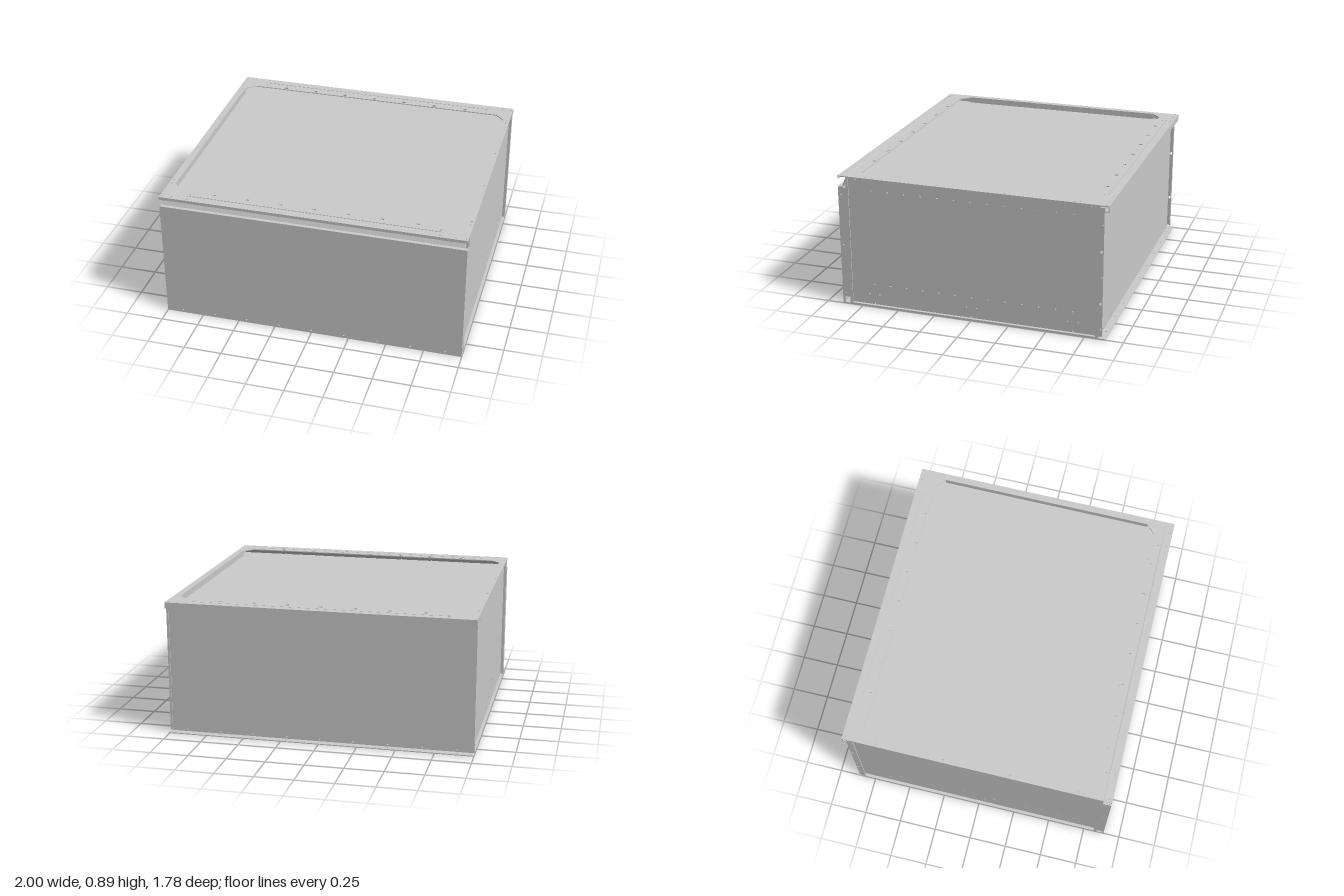
import * as THREE from 'three';

const T = 0.006; // sheet thickness

export function createModel() {
  const model = new THREE.Group();
  const mat = new THREE.MeshStandardMaterial({ color: 0xcccccc, side: THREE.DoubleSide });

  // Flat sheet over [a0..a1] x [b0..b1] with round holes [a, b, r] and cut-out paths.
  // plane 'xy': thickness runs +z; 'zy': thickness runs -x; 'xz': thickness runs -y.
  function sheet(name, plane, at, [a0, a1, b0, b1], holes = [], cutouts = []) {
    const shape = new THREE.Shape(rect(a0, a1, b0, b1));
    holes.forEach(([a, b, r = 0.005]) => shape.holes.push(new THREE.Path().absarc(a, b, r, 0, Math.PI * 2, true)));
    cutouts.forEach((pts) => shape.holes.push(new THREE.Path(pts)));
    const geo = new THREE.ExtrudeGeometry(shape, { depth: T, bevelEnabled: false, curveSegments: 5 });
    if (plane === 'xy') geo.translate(0, 0, at);
    if (plane === 'zy') geo.rotateY(-Math.PI / 2).translate(at, 0, 0);
    if (plane === 'xz') geo.rotateX(Math.PI / 2).translate(0, at, 0);
    const mesh = new THREE.Mesh(geo, mat);
    mesh.name = name;
    model.add(mesh);
    return mesh;
  }
  function rect(a0, a1, b0, b1) {
    return [[a0, b0], [a1, b0], [a1, b1], [a0, b1]].map(([a, b]) => new THREE.Vector2(a, b));
  }
  // Symmetric row of holes
  const row = (positions, b, r) =>
    positions.flatMap((p) => (p ? [[p, b, r], [-p, b, r]] : [[0, b, r]]));
  // Span from inner to outer distance on side s
  const span = (s, inner, outer) => (s > 0 ? [inner, outer] : [-outer, -inner]);

  const frontRow = [0, 0.22, 0.445, 0.665, 0.89];
  const sideRow = [0, 1, 2, 3, 4, 5, 6].map((i) => i * 0.1115);

  // Top frame with a chamfered opening, bolt holes and narrow seams
  const X = 0.955, Z = 0.768, C = 0.06;
  const opening = [[X - C, Z], [X, Z - C], [X, C - Z], [X - C, -Z], [C - X, -Z], [-X, C - Z], [-X, Z - C], [C - X, Z]]
    .map(([a, b]) => new THREE.Vector2(a, b));
  const frameHoles = [-1, 1].flatMap((s) => [
    ...row([0, 0.22, 0.44, 0.665], s * 0.787, 0.013),
    ...row([0.82, 0.92, 0.985], s * 0.868),
    ...row([0.815], s * 0.81),
    ...row([0.98], s * 0.705), ...row([0.98], s * 0.665), ...row([0.98], s * 0.22),
  ]);
  sheet('topFrame', 'xz', 0.885, [-1, 1, -0.89, 0.89], frameHoles,
    [opening, rect(-0.83, 0.83, 0.828, 0.832), rect(-0.83, 0.83, -0.837, -0.833)]);

  // Sunken top panel, running on under the front and rear of the frame
  sheet('topPanel', 'xz', 0.845, [-0.975, 0.975, -0.835, 0.835]);

  // Side walls, mirrored left and right
  for (const s of [-1, 1]) {
    const outer = s > 0 ? 1 : -1 + T;
    sheet('topSideSkirt', 'zy', s * 0.958 + T / 2, [-0.71, 0.71, 0.84, 0.88]);
    sheet('sideWall', 'zy', s * 0.978 + T / 2, [-0.835, 0.835, 0, 0.88], [
      ...row(sideRow, 0.8), ...row(sideRow, 0.155),
      ...row([0.035, 0.635, 0.705], 0.085), ...row([0, 0.67], 0.02), ...row([0.775], 0.865),
    ]);
    // thin rim standing proud of the wall, with a ledge along its foot
    sheet('sideRim', 'zy', outer, [-0.835, 0.835, 0, 0.885], [], [rect(-0.82, 0.82, 0.013, 0.872)]);
    sheet('sideLedge', 'xz', 0.013, [...span(s, 0.975, 1), -0.835, 0.835]);
    for (const e of [-1, 1]) {
      sheet('sideRimReturn', 'xy', e * 0.832 - T / 2, [...span(s, 0.975, 0.998), 0.002, 0.88]);
    }
    // folded end of the front panel with a notch at the foot
    sheet('frontReturn', 'zy', outer, [0.835, 0.885, 0, 0.81],
      [[0.868, 0.76], [0.868, 0.415], [0.868, 0.075]], [rect(0.84, 0.876, 0.008, 0.05)]);
    // upright flange at the rear corner
    sheet('rearCornerFlange', 'zy', outer, [-0.862, -0.835, 0.02, 0.87],
      [[-0.85, 0.585, 0.01], [-0.85, 0.24, 0.01], [-0.855, 0.76], [-0.855, 0.415], [-0.855, 0.07]]);
    sheet('rearCornerStrip', 'xy', -0.862, [...span(s, 0.985, 1), 0.02, 0.87]);
  }

  // Front: outer panel with folded edges, and the inner wall behind it
  sheet('frontPanel', 'xy', 0.884, [-1, 1, 0, 0.815], row(frontRow, 0.02));
  sheet('frontPanelTopFold', 'xz', 0.815, [-0.995, 0.995, 0.862, 0.885]);
  sheet('frontPanelFoot', 'xz', T, [-1, 1, 0.835, 0.885]);
  sheet('frontInnerWall', 'xy', 0.829, [-0.978, 0.978, 0, 0.845]);

  // Sloping strip and lip above the front panel
  const slope = sheet('frontSlopingStrip', 'xy', 0, [-0.985, 0.985, 0, 0.08], row(frontRow, 0.033));
  slope.position.set(0, 0.81, 0.862);
  slope.rotation.x = -0.41;
  sheet('frontTopLip', 'xy', 0.884, [-1, 1, 0.865, 0.885]);

  // Rear wall, its foot flange and the folded lip above
  sheet('rearWall', 'xy', -0.838, [-0.99, 0.99, 0, 0.88], row(frontRow, 0.02));
  sheet('rearFoot', 'xz', T, [-1, 1, -0.885, -0.835], row(frontRow, -0.86));
  sheet('rearTopLip', 'xy', -0.89, [-1, 1, 0.845, 0.885]);
  sheet('rearTopLipFold', 'xz', 0.85, [-1, 1, -0.89, -0.866]);

  return model;
}
